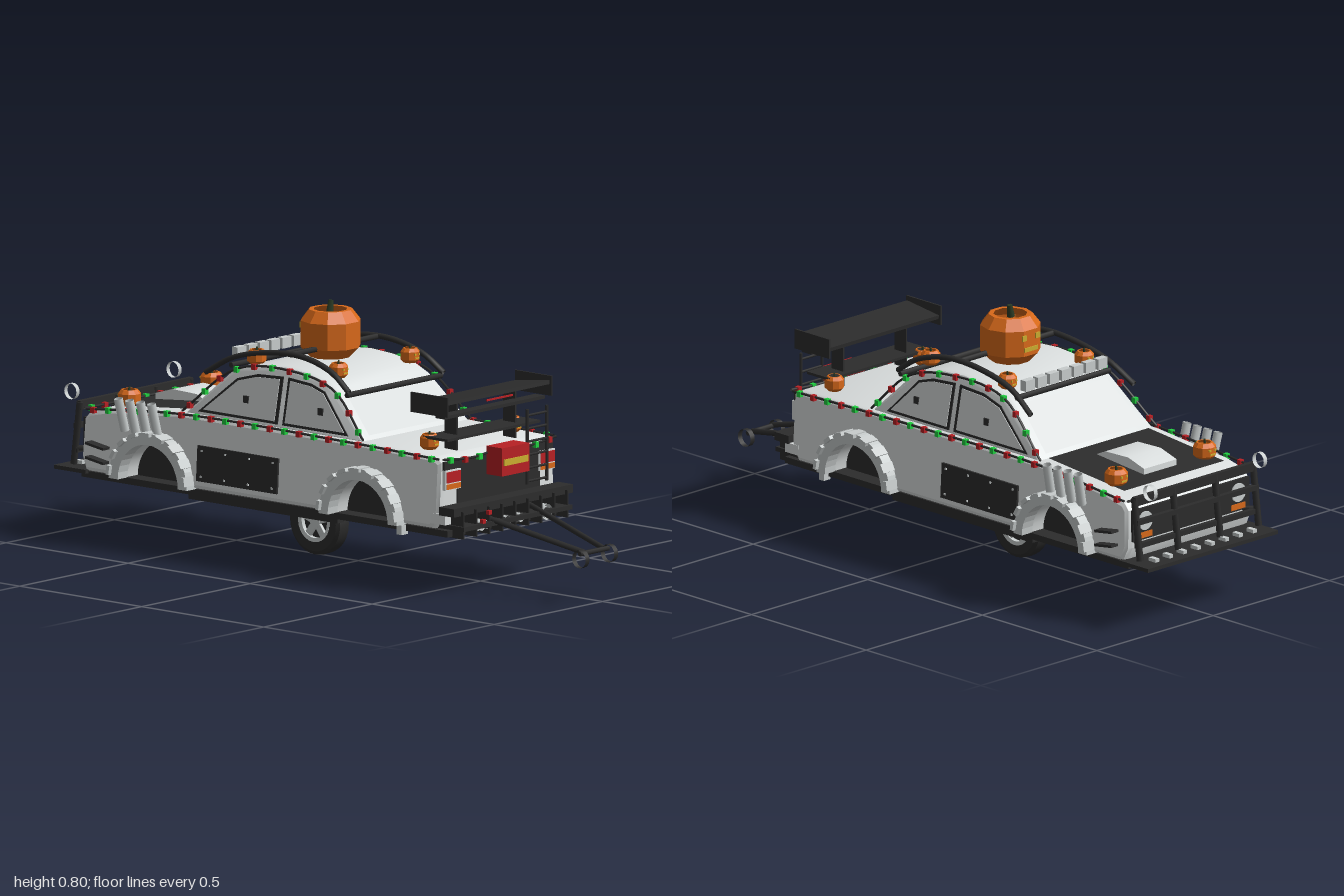
import * as THREE from 'three';
import { toCreasedNormals } from 'three/addons/utils/BufferGeometryUtils.js';

const V = (x, y, z) => new THREE.Vector3(x, y, z);
const material = (name, color) => {
  const m = new THREE.MeshStandardMaterial({ color, side: THREE.DoubleSide });
  m.name = name;
  return m;
};

export function createModel() {
  const car = new THREE.Group();
  car.name = 'festiveCar';
  const white = material('bodyWhite', 0xdce0e0), glass = material('paleGlass', 0xd6dada);
  const black = material('trimBlack', 0x2c2c2c), steel = material('steel', 0xc8cdcd);
  const orange = material('pumpkinOrange', 0xd8691a), red = material('red', 0xb82024);
  const green = material('green', 0x20d040), yellow = material('yellow', 0xccae30);
  const stemMat = material('stemGreen', 0x2a3a24);

  const add = (name, geo, mat, x = 0, y = 0, z = 0, parent = car) => {
    const m = new THREE.Mesh(geo, mat);
    m.name = name;
    m.position.set(x, y, z);
    parent.add(m);
    return m;
  };
  const box = (name, mat, w, h, d, x, y, z, parent) => add(name, new THREE.BoxGeometry(w, h, d), mat, x, y, z, parent);
  const rod = (name, mat, a, b, r, sides = 8, open = false) => {
    const m = add(name, new THREE.CylinderGeometry(r, r, a.distanceTo(b), sides, 1, open), mat);
    m.position.copy(a).lerp(b, 0.5);
    m.quaternion.setFromUnitVectors(V(0, 1, 0), b.clone().sub(a).normalize());
    return m;
  };
  const tube = (name, mat, pts, r) =>
    add(name, new THREE.TubeGeometry(new THREE.CatmullRomCurve3(pts), pts.length * 5, r, 6), mat);
  const shapeOf = pts => new THREE.Shape(pts.map(([z, y]) => new THREE.Vector2(-z, y)));

  // Side profile (z, y) spread across the car, half width depending on height
  const bodyHalf = y => 0.272 - 0.06 * (y - 0.2);
  const cabinHalf = y => 0.245 - 0.2 * (y - 0.43);
  const spread = (name, mat, pts, half) => {
    const g = new THREE.ExtrudeGeometry(shapeOf(pts), { depth: 0.92, bevelThickness: 0.04, bevelSize: 0.015, bevelOffset: -0.015, bevelSegments: 2 });
    g.translate(0, 0, -0.46).rotateY(Math.PI / 2);
    const p = g.attributes.position;
    for (let i = 0; i < p.count; i++) p.setX(i, p.getX(i) * 2 * half(p.getY(i)));
    return add(name, toCreasedNormals(g, 0.5), mat);
  };
  // Thin plate on both flanks
  const sidePlate = (name, mat, pts, half, lift, thick = 0.003) => {
    for (const s of [1, -1]) {
      const g = new THREE.ExtrudeGeometry(shapeOf(pts), { depth: thick, bevelEnabled: false });
      g.translate(0, 0, -thick / 2).rotateY(Math.PI / 2);
      const p = g.attributes.position;
      for (let i = 0; i < p.count; i++) p.setX(i, p.getX(i) + s * (half(p.getY(i)) + lift));
      g.computeVertexNormals();
      add(name, g, mat);
    }
  };
  // Flat panel spanning the car between two heights
  const crossPanel = (name, mat, x1, y1, z1, x2, y2, z2) => {
    const g = new THREE.BufferGeometry();
    g.setAttribute('position', new THREE.Float32BufferAttribute([-x1, y1, z1, x1, y1, z1, x2, y2, z2, -x2, y2, z2], 3));
    g.setIndex(z1 > z2 ? [0, 1, 2, 0, 2, 3] : [0, 2, 1, 0, 3, 2]);
    g.computeVertexNormals();
    return add(name, g, mat);
  };

  // Lower body with wheel openings
  const wheelZ = [0.265, -0.595];
  const profile = [[0.57, 0.25], [0.54, 0.205]];
  for (const c of wheelZ)
    for (let i = 0; i <= 14; i++) {
      const a = Math.PI * i / 14;
      profile.push([c + 0.125 * Math.cos(a), 0.205 + 0.125 * Math.sin(a)]);
    }
  profile.push([-0.88, 0.205], [-0.9, 0.25], [-0.895, 0.37], [-0.875, 0.392], [-0.8, 0.41], [-0.5, 0.437], [0.24, 0.437], [0.54, 0.43], [0.57, 0.415]);
  spread('lowerBody', white, profile, bodyHalf);
  for (const z of wheelZ)
    add('wheelWell', new THREE.CylinderGeometry(0.123, 0.123, 0.42, 28, 1, false, 0, Math.PI).rotateZ(Math.PI / 2), black, 0, 0.205, z);
  box('underbody', black, 0.53, 0.02, 1.5, 0, 0.196, -0.15);
  for (const s of [1, -1]) {
    box('sideSkirt', black, 0.03, 0.03, 0.61, s * 0.24, 0.185, -0.165);
    box('mudFlap', steel, 0.03, 0.03, 0.02, s * 0.27, 0.19, 0.42);
  }

  // Cabin and glass
  spread('cabin', white, [[0.245, 0.43], [0.1, 0.573], [0.05, 0.598], [-0.03, 0.615], [-0.12, 0.621], [-0.22, 0.613], [-0.3, 0.597], [-0.335, 0.58], [-0.5, 0.43]], cabinHalf);
  crossPanel('rearWindow', glass, 0.21, 0.45, 0.23, 0.185, 0.567, 0.111);
  crossPanel('windshield', glass, 0.21, 0.45, -0.483, 0.185, 0.573, -0.347);
  const rearWin = [[0.175, 0.445], [0.06, 0.565], [0, 0.583], [-0.095, 0.59], [-0.095, 0.445]];
  const frontWin = [[-0.115, 0.445], [-0.115, 0.59], [-0.22, 0.585], [-0.3, 0.563], [-0.44, 0.445]];
  for (const w of [rearWin, frontWin]) {
    const cz = w.reduce((t, p) => t + p[0], 0) / 5;
    sidePlate('windowFrame', black, w, cabinHalf, 0.002);
    sidePlate('sideWindow', glass, w.map(([z, y]) => [cz + (z - cz) * 0.9, 0.515 + (y - 0.515) * 0.88]), cabinHalf, 0.004);
  }
  sidePlate('doorArmor', black, [[-0.09, 0.235], [-0.09, 0.345], [-0.42, 0.345], [-0.42, 0.235]], bodyHalf, 0.003, 0.008);
  for (const s of [1, -1]) {
    for (let i = 0; i < 4; i++)
      for (const y of [0.25, 0.33]) box('armorBolt', steel, 0.006, 0.006, 0.006, s * (bodyHalf(y) + 0.007), y, -0.11 - i * 0.097);
    for (const z of [0.055, -0.25]) box('doorHandle', black, 0.012, 0.022, 0.02, s * 0.233, 0.505, z);
  }

  // Fender flares with riveted segments
  for (const s of [1, -1])
    for (const c of wheelZ) {
      const ring = [];
      for (let i = 0; i <= 18; i++) ring.push([c + 0.16 * Math.cos(Math.PI * i / 18), 0.205 + 0.16 * Math.sin(Math.PI * i / 18)]);
      for (let i = 18; i >= 0; i--) ring.push([c + 0.123 * Math.cos(Math.PI * i / 18), 0.205 + 0.123 * Math.sin(Math.PI * i / 18)]);
      const g = new THREE.ExtrudeGeometry(shapeOf(ring), { depth: 0.045, bevelEnabled: false });
      g.translate(0, 0, -0.0225).rotateY(Math.PI / 2);
      add('fenderFlare', g, steel, s * 0.28);
      for (let i = 0; i < 9; i++) {
        const a = Math.PI * (i + 0.5) / 9;
        const b = box('flareSegment', steel, 0.056, 0.012, 0.03, s * 0.288, 0.205 + 0.156 * Math.sin(a), c + 0.156 * Math.cos(a));
        b.rotation.x = Math.PI / 2 - a;
      }
    }

  // Hood panel, scoop and fender exhaust stacks
  crossPanel('hoodPanel', black, 0.215, 0.441, -0.5, 0.215, 0.411, -0.83);
  const scoop = new THREE.ExtrudeGeometry(shapeOf([[-0.55, 0.43], [-0.6, 0.453], [-0.7, 0.456], [-0.77, 0.435], [-0.77, 0.41]]), { depth: 0.14, bevelEnabled: false });
  add('hoodScoop', toCreasedNormals(scoop.translate(0, 0, -0.07).rotateY(Math.PI / 2), 0.6), white);
  for (const s of [1, -1])
    for (let i = 0; i < 4; i++) {
      const z = -0.575 - i * 0.045;
      rod('exhaustStack', steel, V(s * 0.278, 0.355, z), V(s * 0.302, 0.458, z - 0.006), 0.014, 8, true);
    }

  // Front face, splitter and bull bar
  box('grille', black, 0.5, 0.1, 0.01, 0, 0.32, -0.9);
  for (const s of [1, -1]) {
    rod('headlight', steel, V(s * 0.2, 0.33, -0.89), V(s * 0.2, 0.33, -0.91), 0.03, 14);
    box('frontIndicator', orange, 0.06, 0.018, 0.01, s * 0.2, 0.285, -0.903);
    for (const y of [0.295, 0.25]) box('canard', black, 0.035, 0.008, 0.075, s * 0.28, y, -0.82).rotation.x = 0.15;
    for (const x of [0.255, 0.09]) rod('bullBarPost', black, V(s * x, 0.22, -0.94), V(s * x, 0.415, -0.915), 0.011, 6);
    rod('bullBarBrace', black, V(s * 0.255, 0.27, -0.93), V(s * 0.22, 0.27, -0.88), 0.009, 6);
    rod('lampRing', steel, V(s * 0.228, 0.44, -0.965), V(s * 0.243, 0.44, -0.965), 0.025, 14, true);
  }
  box('bullBarTop', black, 0.52, 0.028, 0.016, 0, 0.405, -0.917);
  for (const y of [0.34, 0.265]) box('bullBarRail', black, 0.52, 0.016, 0.016, 0, y, -0.928);
  box('splitter', black, 0.56, 0.012, 0.13, 0, 0.206, -0.935);
  for (let i = 0; i < 8; i++) box('splitterBolt', steel, 0.016, 0.012, 0.03, -0.21 + i * 0.06, 0.217, -0.955);

  // Rear panel, lamps and bumper
  box('tailPanelUpper', black, 0.5, 0.085, 0.008, 0, 0.373, 0.571);
  box('tailPanelLower', black, 0.38, 0.055, 0.008, 0, 0.304, 0.571);
  for (const s of [1, -1]) {
    box('lampSurround', white, 0.07, 0.062, 0.012, s * 0.217, 0.358, 0.575);
    box('tailLamp', red, 0.064, 0.034, 0.008, s * 0.217, 0.367, 0.58);
    box('turnLamp', orange, 0.064, 0.016, 0.008, s * 0.217, 0.338, 0.58);
  }
  for (const [x, y] of [[-0.158, 0.228], [-0.13, 0.252]]) box('towShackle', red, 0.013, 0.013, 0.013, x, y, 0.65);
  box('rearBumper', white, 0.54, 0.032, 0.06, 0, 0.24, 0.565);
  box('bumperBeam', black, 0.55, 0.026, 0.06, 0, 0.267, 0.605);
  box('bumperStep', black, 0.5, 0.014, 0.1, 0, 0.215, 0.605);
  for (let i = 0; i < 9; i++) box('diffuserFin', black, 0.004, 0.085, 0.13, -0.24 + i * 0.06, 0.225, 0.58);
  for (const [x, r] of [[0.15, 0.025], [0.15, 0.018], [-0.15, 0.016], [-0.17, 0.014], [-0.125, 0.014], [-0.03, 0.014], [0.03, 0.014]])
    rod('exhaustTip', steel, V(x, 0.212, 0.52), V(x, 0.212, 0.64), r, 14, true);
  box('toolBox', red, 0.125, 0.088, 0.065, 0, 0.397, 0.612);
  box('toolBoxStripe', yellow, 0.112, 0.02, 0.004, 0, 0.395, 0.646);
  for (const x of [0.12, 0.21]) rod('ladderRail', black, V(x, 0.295, 0.585), V(x, 0.53, 0.585), 0.005, 6);
  for (let i = 0; i < 6; i++) rod('ladderRung', black, V(0.12, 0.305 + i * 0.041, 0.585), V(0.21, 0.305 + i * 0.041, 0.585), 0.004, 6);

  // Tow frame
  for (const s of [1, -1]) {
    rod('towArm', black, V(s * 0.115, 0.235, 0.6), V(s * 0.045, 0.155, 0.965), 0.009, 6);
    rod('towRing', black, V(s * 0.057, 0.138, 0.97), V(s * 0.075, 0.138, 0.97), 0.028, 14, true);
  }
  rod('towCrossbar', black, V(-0.066, 0.153, 0.965), V(0.066, 0.153, 0.965), 0.008, 6);

  // Double rear wing
  box('rearWing', black, 0.47, 0.012, 0.14, 0, 0.588, 0.505).rotation.x = -0.12;
  box('wingFlap', black, 0.46, 0.01, 0.04, 0, 0.549, 0.54);
  box('lowerWing', black, 0.43, 0.008, 0.1, 0, 0.475, 0.505);
  box('wingLight', red, 0.12, 0.005, 0.006, 0, 0.582, 0.578);
  for (const s of [1, -1]) {
    box('wingEndPlate', black, 0.006, 0.062, 0.15, s * 0.24, 0.585, 0.505);
    box('wingPost', black, 0.006, 0.16, 0.05, s * 0.135, 0.505, 0.5);
  }

  // Roof rails, crossbars and lamp row
  for (const s of [1, -1])
    tube('roofRail', black, [V(s * 0.222, 0.565, -0.43), V(s * 0.208, 0.622, -0.33), V(s * 0.203, 0.655, -0.18), V(s * 0.203, 0.657, -0.04), V(s * 0.21, 0.625, 0.08), V(s * 0.218, 0.575, 0.155)], 0.009);
  for (const [x, y, z] of [[0.205, 0.659, -0.1], [0.218, 0.565, 0.145], [0.2, 0.595, -0.345]]) rod('roofCrossbar', black, V(-x, y, z), V(x, y, z), 0.009, 6);
  for (let i = 0; i < 7; i++) box('roofLamp', steel, 0.04, 0.034, 0.022, -0.156 + i * 0.052, 0.63, -0.35);

  // Open-topped pumpkins with stems and carved faces
  const pumpkin = (x, y, z, r, h, dir) => {
    const g = new THREE.Group();
    g.name = 'pumpkin';
    g.position.set(x, y, z);
    car.add(g);
    const pts = [[0.58, 0], [0.66, 0], [1, 0.22], [1, 0.77], [0.72, 1], [0.56, 1]].map(([a, b]) => new THREE.Vector2(a * r, b * h));
    add('pumpkinShell', toCreasedNormals(new THREE.LatheGeometry(pts, 10, Math.PI / 10), 0.1), orange, 0, 0, 0, g);
    add('pumpkinStem', new THREE.CylinderGeometry(r * 0.09, r * 0.13, h * 0.26, 6), stemMat, 0, h * 1.05, 0, g).rotation.z = -0.15;
    for (const s of [1, -1]) box('carvedEye', yellow, r * 0.2, h * 0.12, 0.004, s * r * 0.3, h * 0.62, dir * r * 0.965, g);
    box('carvedMouth', yellow, r * 0.6, h * 0.09, 0.004, 0, h * 0.36, dir * r * 0.965, g);
  };
  pumpkin(0, 0.624, -0.115, 0.094, 0.148, -1);
  for (const s of [1, -1]) {
    pumpkin(s * 0.165, 0.604, 0.065, 0.03, 0.045, 1);
    pumpkin(s * 0.165, 0.604, -0.27, 0.03, 0.045, -1);
    pumpkin(s * 0.19, 0.412, -0.77, 0.036, 0.052, -1);
    pumpkin(s * 0.19, 0.435, 0.46, 0.03, 0.047, 1);
  }

  // Spare wheel under the floor
  const wheel = new THREE.Group();
  wheel.name = 'spareWheel';
  wheel.position.set(0, 0.105, -0.16);
  wheel.rotation.z = Math.PI / 2;
  car.add(wheel);
  const tire = [[0.06, -0.025], [0.092, -0.028], [0.103, -0.02], [0.105, 0], [0.103, 0.02], [0.092, 0.028], [0.06, 0.025], [0.06, -0.025]];
  add('tire', toCreasedNormals(new THREE.LatheGeometry(tire.map(p => new THREE.Vector2(...p)), 28), 0.6), black, 0, 0, 0, wheel);
  const rim = [[0.052, -0.024], [0.064, -0.027], [0.064, 0.027], [0.052, 0.024], [0.052, -0.024]];
  add('rim', toCreasedNormals(new THREE.LatheGeometry(rim.map(p => new THREE.Vector2(...p)), 24), 0.6), steel, 0, 0, 0, wheel);
  add('rimDisc', new THREE.CylinderGeometry(0.06, 0.06, 0.02, 24), black, 0, 0, 0, wheel);
  add('hub', new THREE.CylinderGeometry(0.02, 0.02, 0.044, 12), steel, 0, 0, 0, wheel);
  for (let i = 0; i < 5; i++) {
    const a = i * Math.PI * 2 / 5;
    box('spoke', steel, 0.05, 0.04, 0.022, 0.034 * Math.cos(a), 0, -0.034 * Math.sin(a), wheel).rotation.y = a;
  }

  // Strings of coloured lights
  const lights = (pts, n) => {
    const curve = new THREE.CatmullRomCurve3(pts);
    add('lightWire', new THREE.TubeGeometry(curve, n * 2, 0.004, 5), black);
    for (let i = 0; i < n; i++) {
      const p = curve.getPointAt((i + 0.5) / n);
      box('lightBulb', i % 2 ? red : green, 0.015, 0.018, 0.015, p.x, p.y - 0.003, p.z);
    }
  };
  for (const s of [1, -1]) {
    lights([V(s * 0.265, 0.425, 0.565), V(s * 0.265, 0.432, 0.2), V(s * 0.265, 0.432, -0.5), V(s * 0.265, 0.4, -0.88)], 24);
    lights([V(s * 0.248, 0.44, 0.24), V(s * 0.222, 0.572, 0.1), V(s * 0.212, 0.61, -0.08), V(s * 0.218, 0.59, -0.31), V(s * 0.25, 0.44, -0.5)], 12);
  }
  lights([V(-0.26, 0.425, 0.578), V(-0.13, 0.415, 0.582), V(0, 0.425, 0.582), V(0.13, 0.415, 0.582), V(0.26, 0.425, 0.578)], 8);
  lights([V(-0.26, 0.4, -0.89), V(0, 0.395, -0.9), V(0.26, 0.4, -0.89)], 8);
  return car;
}
